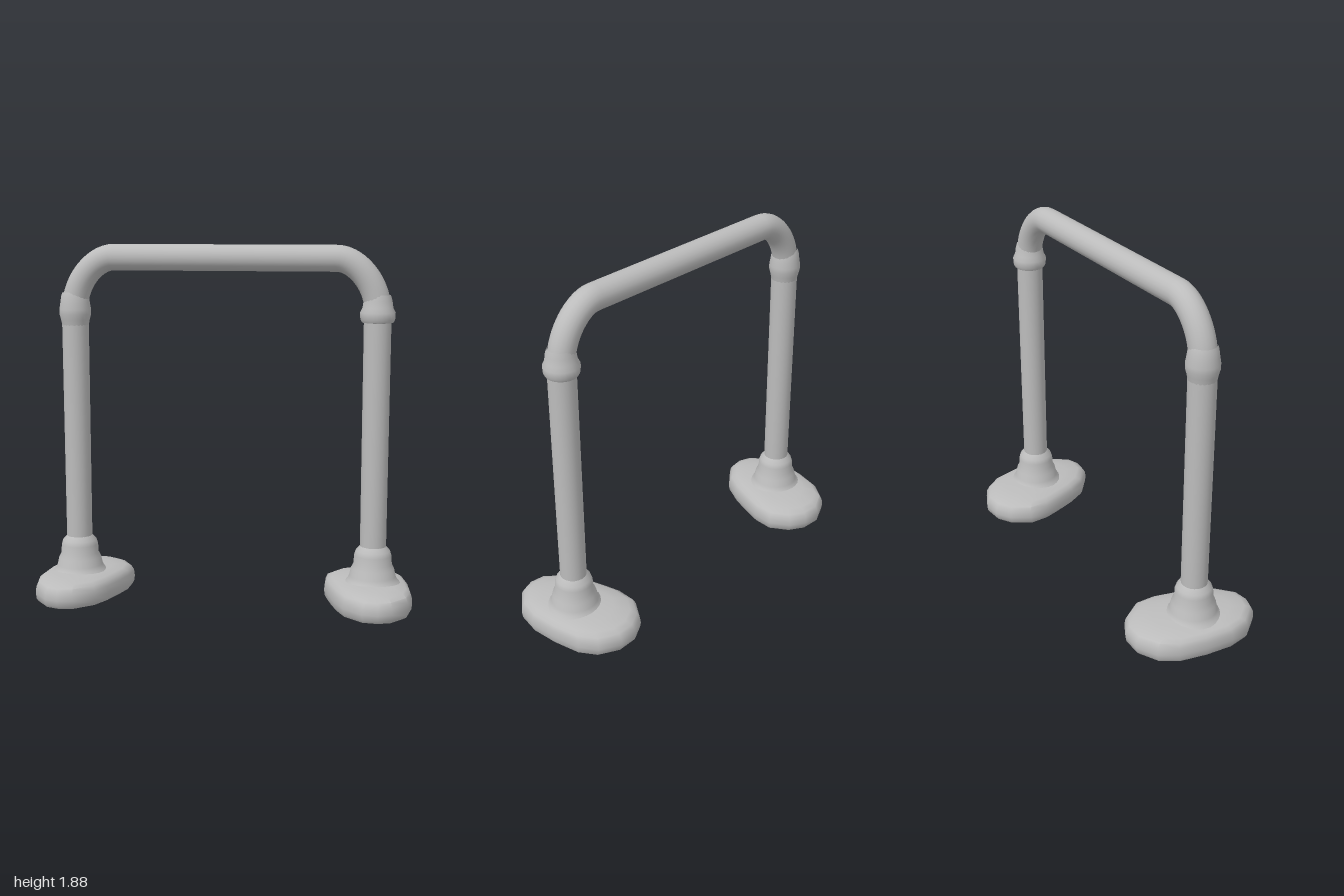
import * as THREE from 'three';
import { toCreasedNormals } from 'three/addons/utils/BufferGeometryUtils.js';

const LEG_X = 0.79;

// Foot outline on the +x side, as [x, z] offsets from the leg axis
const OUTLINE = [
  [-0.01, -0.345], [-0.11, -0.34], [-0.195, -0.29], [-0.26, -0.19], [-0.258, -0.08],
  [-0.23, 0.02], [-0.19, 0.14], [-0.14, 0.24], [-0.04, 0.325], [0.04, 0.335],
  [0.11, 0.31], [0.19, 0.21], [0.21, 0.1], [0.195, -0.05], [0.16, -0.2], [0.1, -0.29],
];

// Foot cross-sections: [height, outline scale]
const FOOT_RINGS = [
  [0, 0], [0, 0.95], [0.015, 0.985], [0.045, 1], [0.08, 0.985],
  [0.105, 0.94], [0.12, 0.84], [0.13, 0.6], [0.138, 0.35], [0.138, 0],
];

// Loft of scaled outlines, mirrored by side
function footGeometry(side) {
  const outline = OUTLINE.map(([x, z]) => [x * side, z]);
  if (side > 0) outline.reverse();
  const n = outline.length;
  const positions = [];
  const index = [];
  for (const [y, s] of FOOT_RINGS) {
    for (const [x, z] of outline) positions.push(x * s, y, z * s);
  }
  for (let r = 0; r < FOOT_RINGS.length - 1; r++) {
    for (let i = 0; i < n; i++) {
      const j = (i + 1) % n;
      const a = r * n + i, b = r * n + j, c = b + n, d = a + n;
      if (FOOT_RINGS[r + 1][1] > 0) index.push(a, d, c);
      if (FOOT_RINGS[r][1] > 0) index.push(a, c, b);
    }
  }
  // The outline runs back, outer, front, inner when seen from above
  for (let i = 0; i < index.length; i += 3) {
    if (side > 0) continue;
    [index[i + 1], index[i + 2]] = [index[i + 2], index[i + 1]];
  }
  const g = new THREE.BufferGeometry();
  g.setAttribute('position', new THREE.Float32BufferAttribute(positions, 3));
  g.setIndex(orientOutward(positions, index));
  return toCreasedNormals(g, 0.75);
}

// Flip any triangle facing the middle of the convex foot
function orientOutward(p, index) {
  const v = (i) => new THREE.Vector3(p[3 * i], p[3 * i + 1], p[3 * i + 2]);
  const middle = new THREE.Vector3(0, 0.06, 0);
  for (let i = 0; i < index.length; i += 3) {
    const a = v(index[i]), b = v(index[i + 1]), c = v(index[i + 2]);
    const normal = b.clone().sub(a).cross(c.clone().sub(a));
    if (normal.dot(a.add(b).add(c).divideScalar(3).sub(middle)) < 0) {
      [index[i + 1], index[i + 2]] = [index[i + 2], index[i + 1]];
    }
  }
  return index;
}

function latheGeometry(profile) {
  const points = profile.map(([r, y]) => new THREE.Vector2(r, y));
  return toCreasedNormals(new THREE.LatheGeometry(points, 24), 0.9);
}

// Centre line of the bent top rail
function railPath() {
  const v = (x, y) => new THREE.Vector3(x, y, 0);
  const low = 1.54, top = 1.812, bend = 0.58, k = 0.55;
  const path = new THREE.CurvePath();
  const corner = (s) => [
    v(s * LEG_X, low),
    v(s * LEG_X, low + (top - low) * k),
    v(s * (bend + (LEG_X - bend) * (1 - k)), top),
    v(s * bend, top),
  ];
  path.add(new THREE.CubicBezierCurve3(...corner(-1)));
  path.add(new THREE.LineCurve3(v(-bend, top), v(bend, top)));
  path.add(new THREE.CubicBezierCurve3(...corner(1).reverse()));
  return path;
}

export function createModel() {
  const model = new THREE.Group();
  model.name = 'hoopStand';
  const grey = new THREE.MeshStandardMaterial({ color: 0xbcbcbc });
  grey.name = 'plain grey';

  const add = (parent, name, geometry) => {
    const mesh = new THREE.Mesh(geometry, grey);
    mesh.name = name;
    parent.add(mesh);
    return mesh;
  };

  add(model, 'topRail', new THREE.TubeGeometry(railPath(), 80, 0.068, 20, false));

  for (const side of [-1, 1]) {
    const stand = new THREE.Group();
    stand.name = side > 0 ? 'leftStand' : 'rightStand';
    stand.position.x = side * LEG_X;
    model.add(stand);

    add(stand, 'foot', footGeometry(side));

    // Stepped socket between foot and post
    add(stand, 'socket', latheGeometry([
      [0.145, 0.125], [0.132, 0.14], [0.122, 0.16], [0.113, 0.2], [0.1, 0.225],
      [0.098, 0.27], [0.09, 0.295], [0.068, 0.32],
    ]));

    const post = add(stand, 'post', new THREE.CylinderGeometry(0.07, 0.068, 1.36, 20, 1, true));
    post.position.y = 0.84;

    // Collar joining post and rail; the left one has a crisp lower lip
    add(stand, 'collar', latheGeometry(side > 0
      ? [[0.066, 1.488], [0.08, 1.49], [0.088, 1.505], [0.09, 1.54], [0.078, 1.565], [0.073, 1.6], [0.064, 1.63]]
      : [[0.068, 1.45], [0.075, 1.485], [0.083, 1.515], [0.083, 1.54], [0.077, 1.575], [0.072, 1.61], [0.064, 1.63]]));
  }
  return model;
}
